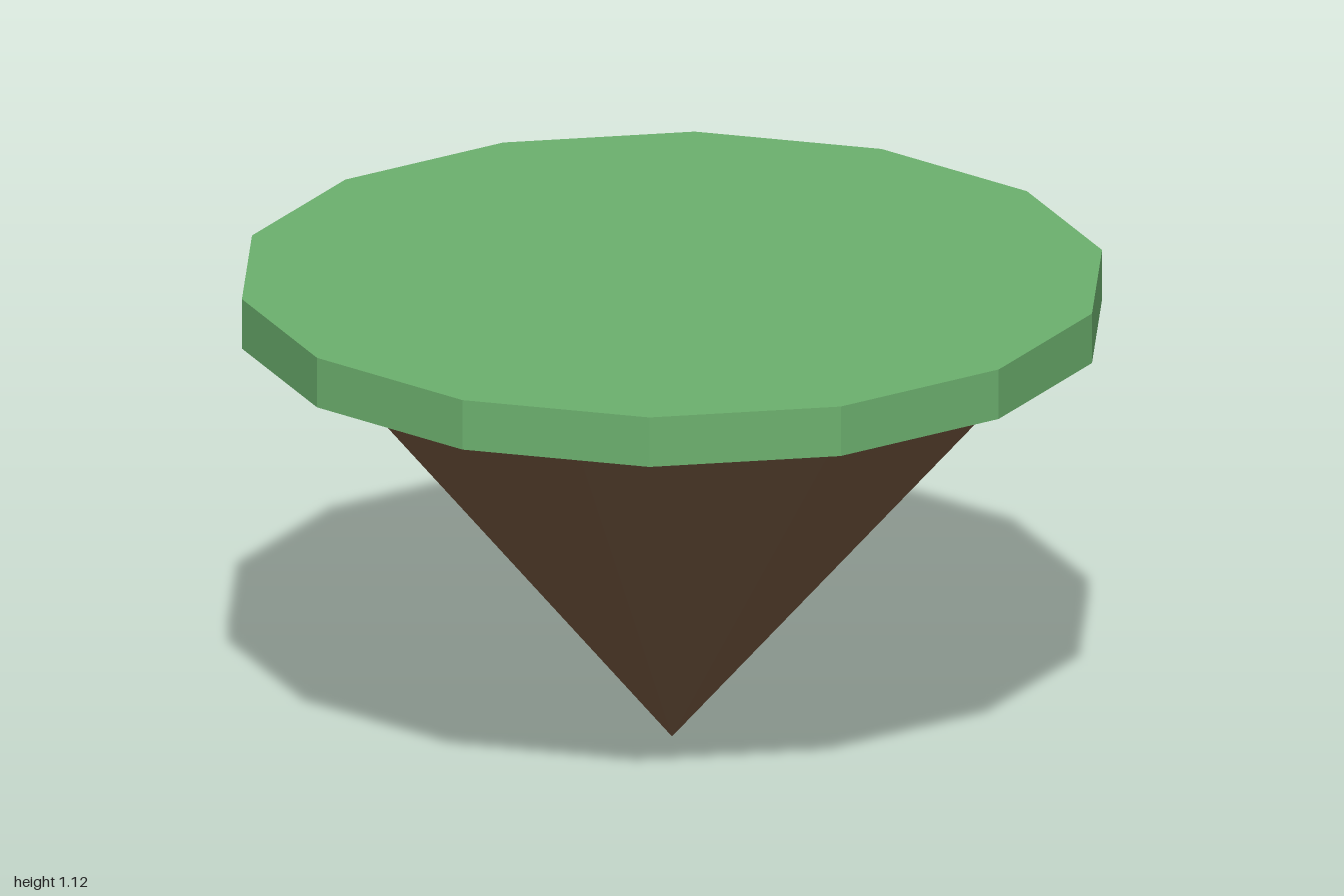
import * as THREE from 'three';

export function createModel() {
  const model = new THREE.Group();
  model.name = 'floatingIsland';

  const grass = new THREE.MeshStandardMaterial({ color: 0x6cb06e });
  grass.name = 'grass green';
  const earth = new THREE.MeshStandardMaterial({ color: 0x7a5c43 });
  earth.name = 'earth brown';

  // Faceted solid of revolution standing on height y
  function addFaceted(name, topRadius, bottomRadius, height, sides, y, material) {
    const smooth = new THREE.CylinderGeometry(topRadius, bottomRadius, height, sides);
    const geometry = smooth.toNonIndexed();
    geometry.computeVertexNormals();
    geometry.clearGroups();
    geometry.translate(0, y + height / 2, 0);
    const mesh = new THREE.Mesh(geometry, material);
    mesh.name = name;
    model.add(mesh);
  }

  // Grass disc on top of an upside-down, nine-sided earth cone
  addFaceted('grassTop', 1, 1, 0.12, 14, 1, grass);
  addFaceted('earthCone', 0.88, 0, 1, 9, 0, earth);

  return model;
}
